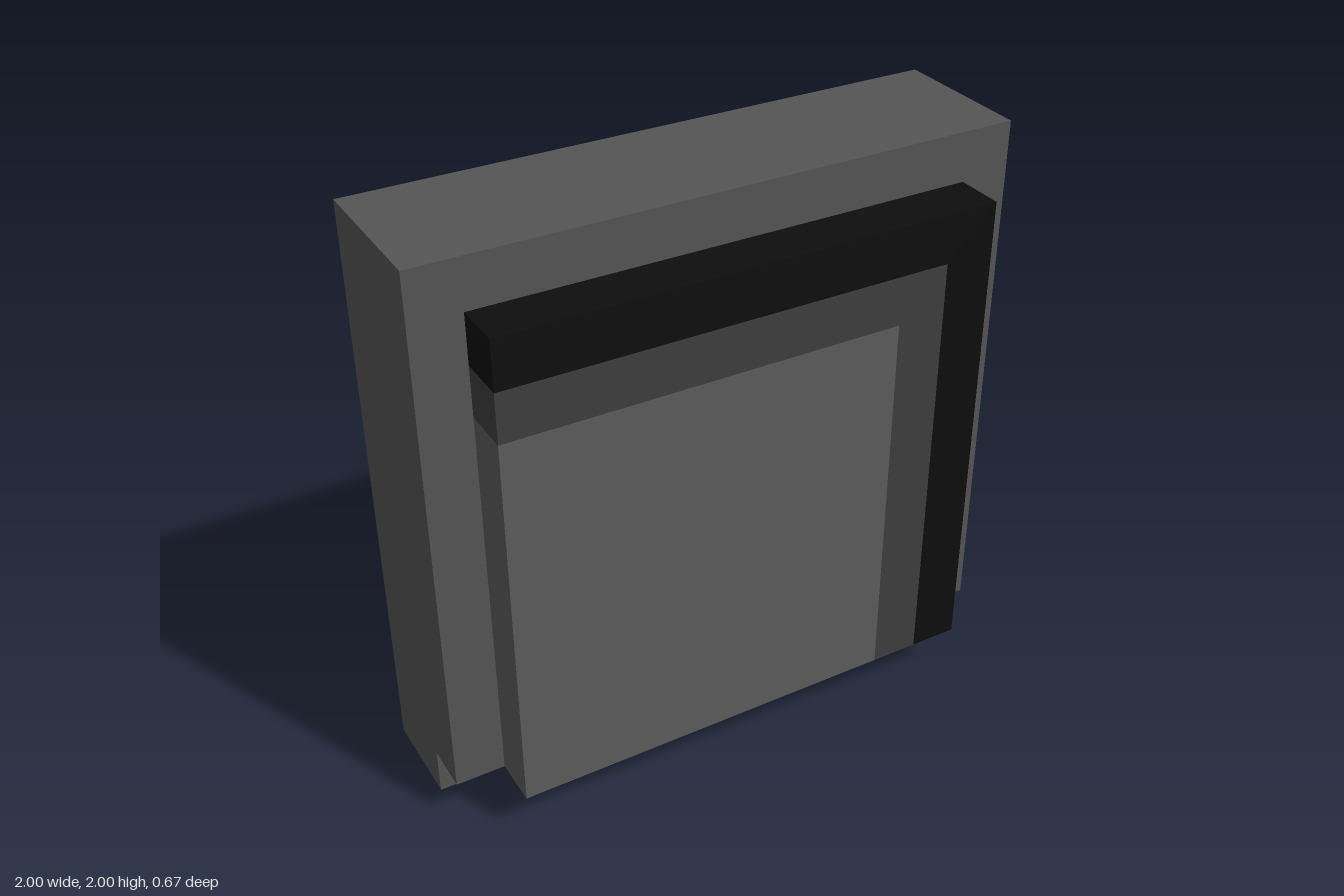
import * as THREE from 'three';

const U = 1 / 6; // module: every size is a multiple of this

const material = (color) => new THREE.MeshStandardMaterial({ color, flatShading: true });

// Extrudes an outline (in modules) from z0 to z1
function slab(name, points, z0, z1, mat) {
  const shape = new THREE.Shape(points.map(([x, y]) => new THREE.Vector2(x * U, y * U)));
  const geometry = new THREE.ExtrudeGeometry(shape, { depth: (z1 - z0) * U, bevelEnabled: false });
  geometry.translate(0, 0, z0 * U);
  const mesh = new THREE.Mesh(geometry, mat);
  mesh.name = name;
  return mesh;
}

// L-shaped band along the top and left side of the panel, one module wide
const band = (right, top) => [
  [right - 1, 1], [right, 1], [right, top], [-5, top], [-5, top - 1], [right - 1, top - 1],
];

export function createModel() {
  const group = new THREE.Group();
  group.name = 'framedPanel';

  // Surrounding frame: deep top and sides, shallower bottom rail
  const frameMat = material(0x555555);
  const frame = new THREE.Group();
  frame.name = 'frame';
  frame.add(
    slab('frameTopAndSides',
      [[-6, 1], [-5, 1], [-5, 11], [5, 11], [5, 1], [6, 1], [6, 12], [-6, 12]], -2, 1, frameMat),
    slab('frameBottomRail', [[-6, 0], [6, 0], [6, 1], [-6, 1]], -2, 0, frameMat),
  );

  // Panel passing through the frame: flush at the back, proud at the front
  const panel = new THREE.Group();
  panel.name = 'panel';
  panel.add(
    slab('outerBand', band(5, 11), -2, 2, material(0x0e0e0e)),
    slab('innerBand', band(4, 10), -2, 2, material(0x3e3e3e)),
    slab('panelCore', [[-5, 1], [3, 1], [3, 9], [-5, 9]], -2, 2, material(0x5c5c5c)),
  );

  group.add(frame, panel);
  return group;
}
